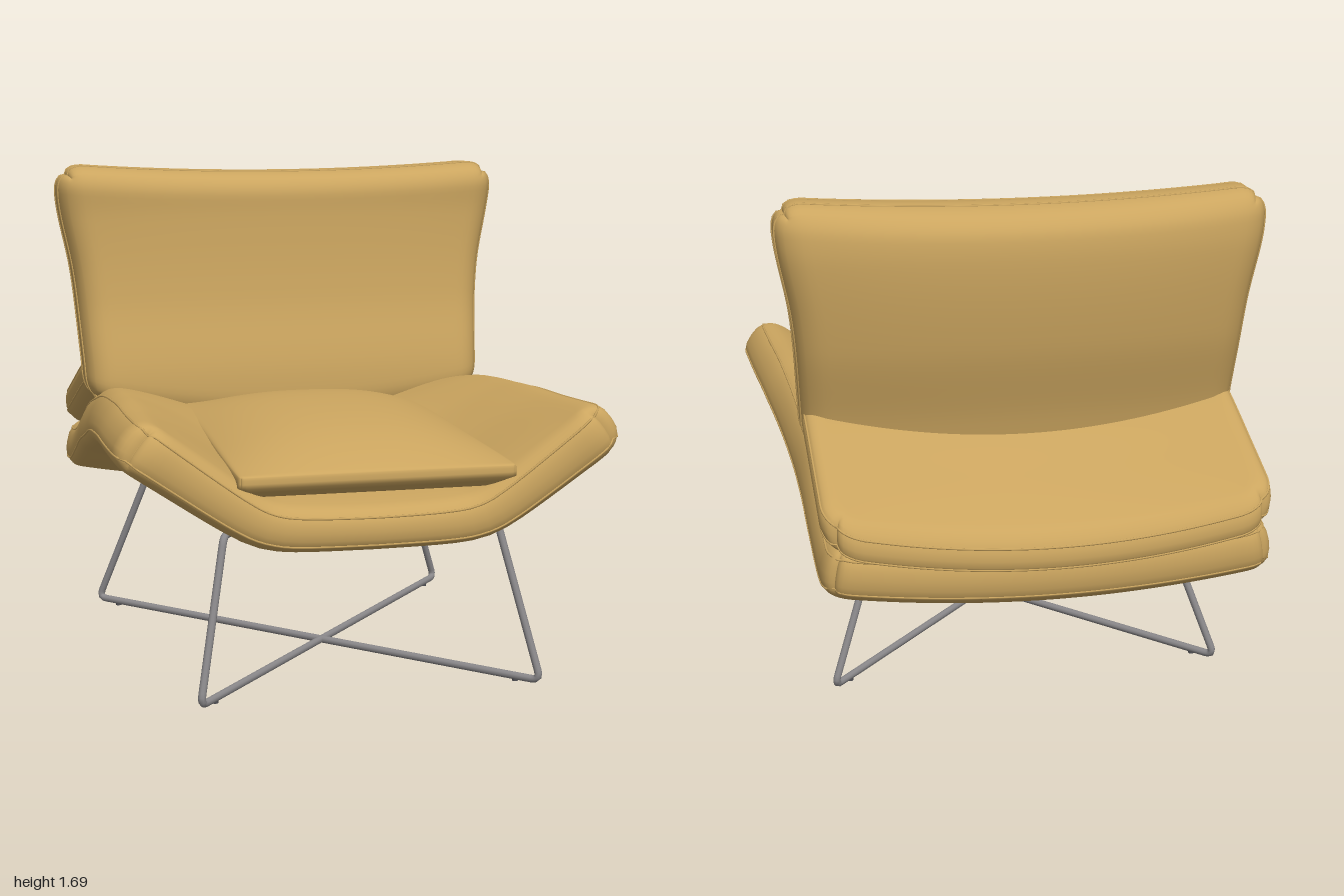
import * as THREE from 'three';
import { mergeVertices } from 'three/addons/utils/BufferGeometryUtils.js';

const leather = new THREE.MeshStandardMaterial({ color: 0xcba55f });
leather.name = 'tan leather';
const steel = new THREE.MeshStandardMaterial({ color: 0x8b898b });
steel.name = 'brushed steel';
const dark = new THREE.MeshStandardMaterial({ color: 0x505055 });
dark.name = 'dark mounting metal';

// Smooth curve through [position, value] pairs, positions ascending
function through(pts) {
  const slope = (i) => {
    const a = pts[Math.max(i - 1, 0)], b = pts[Math.min(i + 1, pts.length - 1)];
    return (b[1] - a[1]) / (b[0] - a[0]);
  };
  return (p) => {
    let i = 0;
    while (i < pts.length - 2 && p > pts[i + 1][0]) i++;
    const [p0, v0] = pts[i], [p1, v1] = pts[i + 1], h = p1 - p0;
    const t = THREE.MathUtils.clamp((p - p0) / h, 0, 1);
    const a = 1 - t;
    return v0 * a * a * (1 + 2 * t) + v1 * t * t * (3 - 2 * t)
      + h * t * a * (slope(i) * a - slope(i + 1) * t);
  };
}

// Upholstered slab: rounded edges (e), rounded plan corners (R), bulging faces, then bent.
// The seam (0 to 1) sets how far round the edge the piping sits; 0 leaves it off.
function cushion(name, { W, T, D, R, e, top = 0, bottom = 0, crown = 4, seam = 0, bend }) {
  const size = new THREE.Vector3(W, T, D);
  const hi = size.clone().subScalar(e), lo = hi.clone().negate(), core = new THREE.Vector3();
  const place = (p) => {
    core.copy(p).clamp(lo, hi);
    let { x, y, z } = p.sub(core).setLength(e).add(core);
    const qx = Math.max(Math.abs(x) - (W - R), 0), qz = Math.max(Math.abs(z) - (D - R), 0);
    if (qx > 0 && qz > 0) {
      const k = Math.max(qx, qz) / Math.hypot(qx, qz);
      x = Math.sign(x) * (W - R + qx * k);
      z = Math.sign(z) * (D - R + qz * k);
    }
    const swell = (1 - Math.abs(x / W) ** crown) * (1 - Math.abs(z / D) ** crown) * (y / T);
    y += (y > 0 ? top : bottom) * swell;
    return bend(x, y, z);
  };
  const geo = new THREE.BoxGeometry(2, 2, 2, 48, 8, 48);
  geo.deleteAttribute('uv');
  geo.deleteAttribute('normal');
  const pos = geo.attributes.position, p = new THREE.Vector3();
  const ease = (v) => Math.sin(v * Math.PI / 2);
  for (let i = 0; i < pos.count; i++) {
    p.fromBufferAttribute(pos, i);
    const q = place(p.set(ease(p.x), ease(p.y), ease(p.z)).multiply(size));
    pos.setXYZ(i, q.x, q.y, q.z);
  }
  const smooth = mergeVertices(geo, 1e-5);
  smooth.computeVertexNormals();
  const group = new THREE.Group();
  group.name = name;
  const body = new THREE.Mesh(smooth, leather);
  body.name = name + 'Body';
  group.add(body);
  // Piped seams round both rims
  for (const side of seam ? [1, -1] : []) {
    const y = side * (T - e + e * seam), pts = [], n = 32;
    const sides = [[-1, -1, 1, 0], [1, -1, 0, 1], [1, 1, -1, 0], [-1, 1, 0, -1]];
    for (const [sx, sz, dx, dz] of sides) {
      for (let i = 0; i < n; i++) {
        const s = 1 - Math.cos(i / n * Math.PI);
        pts.push(place(p.set((sx + dx * s) * W, y, (sz + dz * s) * D)));
      }
    }
    const path = new THREE.CatmullRomCurve3(pts, true);
    const piping = new THREE.Mesh(new THREE.TubeGeometry(path, 240, 0.004, 6, true), leather);
    piping.name = name + 'Piping';
    group.add(piping);
  }
  return group;
}

// Seat sweep from back to front: centre height, wing lift, width and thickness
const seatCentre = through([[-1, 0.525], [-0.8, 0.505], [-0.6, 0.56], [-0.4, 0.63], [-0.1, 0.655],
  [0.1, 0.64], [0.3, 0.605], [0.6, 0.565], [1, 0.57]]);
const seatLift = through([[-1, 0.06], [-0.6, 0.1], [-0.3, 0.125], [0, 0.185], [0.5, 0.31], [1, 0.335]]);
const seatWidth = through([[-1, 0.75], [-0.3, 0.76], [0, 0.777], [0.5, 0.807], [0.9, 0.825], [1, 0.82]]);
const seatThick = through([[-1, 1.25], [-0.5, 1.2], [0, 1.08], [0.6, 1], [1, 1]]);

function wing(u, z) {
  const a = Math.abs(u) - 0.45;
  const hinge = (Math.sqrt(a * a + 0.01) + a - 0.011) / 1.098;
  return THREE.MathUtils.lerp(u * u, hinge, THREE.MathUtils.smoothstep(z, -0.8, -0.1)) * seatLift(z);
}

function bendSeat(x, t, z) {
  const w = seatWidth(z), u = x / 0.82, h = 0.01;
  const tilt = Math.atan2(wing(u + h, z) - wing(u - h, z), 2 * h * w);
  t *= seatThick(z) * (1 + 0.33 * u * u * THREE.MathUtils.smoothstep(z, -0.9, -0.3));
  return new THREE.Vector3(u * w - t * Math.sin(tilt), seatCentre(z) + wing(u, z) + t * Math.cos(tilt), z);
}

// Backrest sweep by height; its rear face bows in plan
const backWidth = through([[0.8, 0.75], [1, 0.76], [1.3, 0.785], [1.55, 0.832], [1.7, 0.84]]);
const backDepth = through([[0.8, -0.34], [0.95, -0.36], [1.2, -0.42], [1.5, -0.45], [1.7, -0.435]]);

function bendBack(x, t, z) {
  const u = x / 0.83, up = (0.43 - z) / 0.86;
  const y = 0.82 + up * 0.845 + 0.035 * u * u * up - 0.1 * (1 - u * u) * (1 - up) ** 3;
  return new THREE.Vector3(u * backWidth(y), y, backDepth(y) + (t < 0 ? t * (1 - 0.28 * u * u) : t));
}

// Rear shelf cushion and loose seat pad heights
const shelfHeight = through([[-1, 0.695], [-0.95, 0.72], [-0.7, 0.818], [-0.42, 0.922], [-0.3, 0.945]]);
const padHeight = through([[-0.3, 0.775], [0, 0.778], [0.3, 0.768], [0.6, 0.75], [1, 0.73]]);

function bendShelf(x, t, z) {
  const zz = z - 0.65, u = x / 0.755;
  return new THREE.Vector3(x, shelfHeight(zz) + t - 0.1 * (1 - u * u), zz);
}

// The pad waists in at mid length and its front edge overhangs
function bendPad(x, t, z) {
  const zz = z + 0.365, under = Math.max(Math.min(t / 0.04, 0), -1);
  const narrow = (1 + 0.17 * under) * (0.955 + 0.045 * THREE.MathUtils.smoothstep(zz, 0.2, 1));
  return new THREE.Vector3(x * narrow, padHeight(zz) + t, zz + 0.06 * under * THREE.MathUtils.smoothstep(z, 0.3, 0.6));
}

// Rod with rounded bends
function rod(points, r) {
  const v = points.map((p) => new THREE.Vector3(...p));
  const path = new THREE.CurvePath();
  let from = v[0];
  for (let i = 1; i < v.length - 1; i++) {
    const a = v[i].clone().add(v[i - 1].clone().sub(v[i]).setLength(0.035));
    const b = v[i].clone().add(v[i + 1].clone().sub(v[i]).setLength(0.035));
    path.add(new THREE.LineCurve3(from, a));
    path.add(new THREE.QuadraticBezierCurve3(a, v[i], b));
    from = b;
  }
  path.add(new THREE.LineCurve3(from, v[v.length - 1]));
  return new THREE.TubeGeometry(path, 260, r, 10);
}

export function createModel() {
  const chair = new THREE.Group();
  chair.name = 'loungeChair';
  chair.add(
    cushion('seatShell', { W: 0.82, T: 0.066, D: 0.99, R: 0.11, e: 0.058, top: 0.047, crown: 6, seam: 0.8, bend: bendSeat }),
    cushion('seatPad', { W: 0.465, T: 0.04, D: 0.625, R: 0.02, e: 0.012, top: 0.095, bottom: 0.02, crown: 2.6, bend: bendPad }),
    cushion('rearShelf', { W: 0.755, T: 0.065, D: 0.35, R: 0.13, e: 0.06, top: 0.012, seam: 0.6, bend: bendShelf }),
    cushion('backrest', { W: 0.83, T: 0.135, D: 0.43, R: 0.06, e: 0.1, top: 0.015, bottom: 0.025, seam: 0.15, bend: bendBack }),
  );

  // Two sled rods crossing on the floor
  for (const s of [1, -1]) {
    const leg = new THREE.Group();
    leg.name = s > 0 ? 'sledLegA' : 'sledLegB';
    const path = [[0.38, 0.52, 0.61], [0.47, 0.54, 0.78], [0.58, 0.017, 0.925],
      [-0.68, 0.017, -0.56], [-0.49, 0.565, -0.42], [-0.4, 0.585, -0.33]];
    const bar = new THREE.Mesh(rod(path.map(([x, y, z]) => [x * s, y, z]), 0.013), steel);
    bar.name = 'sledRod';
    leg.add(bar);
    // Flattened mounting plates, pointed along the rod ends
    for (const [end, next] of [[path[0], path[1]], [path[5], path[4]]]) {
      const plate = new THREE.Mesh(new THREE.SphereGeometry(1, 16, 10), dark);
      plate.name = 'mountingPlate';
      plate.scale.set(0.032, 0.016, 0.07);
      plate.position.set(end[0] * s, end[1], end[2]);
      plate.lookAt(next[0] * s, next[1], next[2]);
      leg.add(plate);
    }
    for (const f of [0.05, 0.95]) {
      const foot = new THREE.Mesh(new THREE.CylinderGeometry(0.01, 0.01, 0.012, 10), dark);
      foot.name = 'floorGlide';
      foot.position.set(s * (0.58 - 1.26 * f), 0.006, 0.925 - 1.485 * f);
      leg.add(foot);
    }
    chair.add(leg);
  }
  return chair;
}
